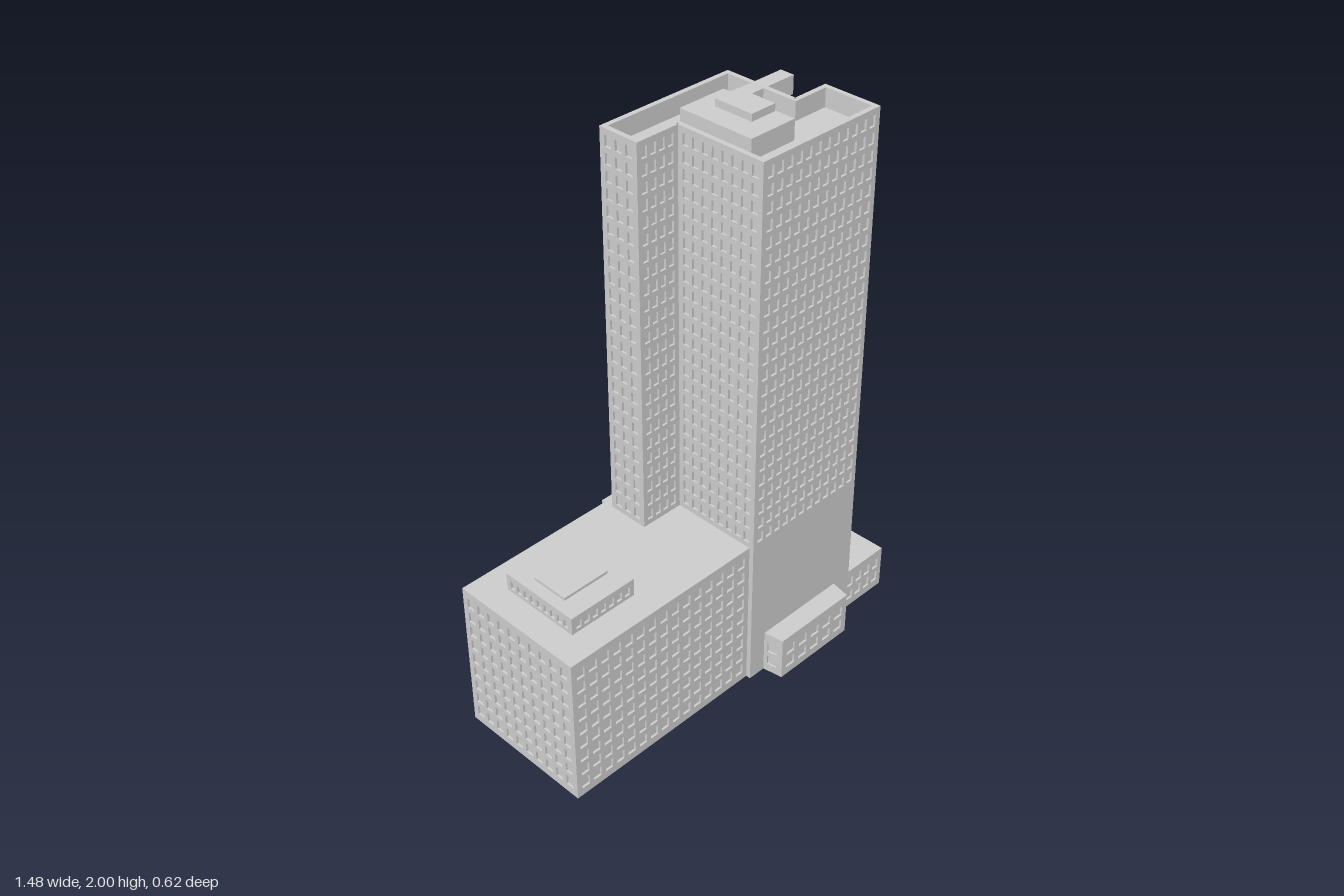
import * as THREE from 'three';

const mat = new THREE.MeshStandardMaterial({ color: 0xcccccc, flatShading: true });
const DEPTH = 0.008; // window recess

const rect = (x0, x1, z0, z1) => [[x0, z1], [x1, z1], [x1, z0], [x0, z0]];

// Move every wall of a plan inwards by d (plans run front-left, front-right, back-right, ...)
function inset(plan, d) {
  const n = plan.length;
  return plan.map((p, i) => {
    const a = plan[(i + n - 1) % n], b = plan[(i + 1) % n];
    const u = new THREE.Vector2(p[0] - a[0], p[1] - a[1]).normalize();
    const v = new THREE.Vector2(b[0] - p[0], b[1] - p[1]).normalize();
    const m = new THREE.Vector2(u.y + v.y, -u.x - v.x); // sum of inward normals
    m.multiplyScalar(d / (1 + u.dot(v)));
    return [p[0] + m.x, p[1] + m.y];
  });
}

const toPoints = plan => plan.map(([x, z]) => new THREE.Vector2(x, -z));

// Upright prism over a plan, optionally hollow
function prism(name, plan, y0, y1, hole) {
  const shape = new THREE.Shape(toPoints(plan));
  if (hole) shape.holes.push(new THREE.Path(toPoints(hole)));
  const geo = new THREE.ExtrudeGeometry(shape, { depth: y1 - y0, bevelEnabled: false });
  geo.rotateX(-Math.PI / 2).translate(0, y0, 0);
  const mesh = new THREE.Mesh(geo, mat);
  mesh.name = name;
  return mesh;
}

// Wall panel from plan point a to b, pierced by a grid of windows
function facade(name, a, b, y0, y1, o) {
  const dx = b[0] - a[0], dz = b[1] - a[1], L = Math.hypot(dx, dz), H = y1 - y0;
  const edge = o.edge ?? 0.012, low = o.low ?? 0.01, high = o.high ?? 0.01;
  const shape = new THREE.Shape([[0, 0], [L, 0], [L, H], [0, H]].map(p => new THREE.Vector2(...p)));
  const cols = Math.floor((L - 2 * edge) / o.pitch + 0.3);
  const cw = (L - 2 * edge) / cols, ch = (H - low - high) / o.rows;
  const w = cw * (o.fillX ?? 0.64), h = ch * (o.fillY ?? 0.66);
  for (let c = 0; c < cols; c++) {
    for (let r = 0; r < o.rows; r++) {
      const x = edge + (c + 0.5) * cw - w / 2, y = low + (r + 0.5) * ch - h / 2;
      shape.holes.push(new THREE.Path([[x, y], [x, y + h], [x + w, y + h], [x + w, y]]
        .map(p => new THREE.Vector2(...p))));
    }
  }
  const geo = new THREE.ExtrudeGeometry(shape, { depth: DEPTH, bevelEnabled: false });
  geo.translate(0, 0, -DEPTH);
  const mesh = new THREE.Mesh(geo, mat);
  mesh.position.set(a[0], y0, a[1]);
  mesh.rotation.y = Math.atan2(-dz, dx);
  mesh.name = name;
  return mesh;
}

// Solid core wrapped in windowed walls
function block(name, plan, y0, y1, o) {
  const g = new THREE.Group();
  g.name = name;
  g.add(prism(name + 'Core', inset(plan, DEPTH), y0, o.roof ?? y1));
  plan.forEach((p, i) => {
    if (o.skip?.includes(i)) return;
    g.add(facade(name + 'Wall', p, plan[(i + 1) % plan.length], y0, y1, o));
  });
  return g;
}

export function createModel() {
  const model = new THREE.Group();
  model.name = 'officeTower';
  const solid = (name, x0, x1, y0, y1, z0, z1) => model.add(prism(name, rect(x0, x1, z0, z1), y0, y1));

  // Long podium wing
  const P = 0.57;
  const wing = { pitch: 0.05, rows: 9, low: 0.02, high: 0.02 };
  const podium = block('podium', rect(-0.74, 0.545, -0.29, 0.22), 0, P, { ...wing, skip: [0, 1] });
  podium.add(facade('podiumFrontWall', [-0.74, 0.22], [0.04, 0.22], 0, P, wing));
  podium.add(facade('podiumEndWall', [0.545, 0.02], [0.545, -0.29], 0, P,
    { pitch: 0.034, rows: 10, low: 0.175, high: 0.03, fillX: 0.6, fillY: 0.6 }));
  model.add(podium);

  // Plain base below the front of the tower, with a few small side openings
  solid('towerBase', 0.04, 0.545 - DEPTH, 0, P, 0.02, 0.237);
  model.add(facade('towerBaseSide', [0.545, 0.237], [0.545, 0.02], 0, P,
    { pitch: 0.055, rows: 6, low: 0.2, high: 0.04, fillX: 0.12, fillY: 0.2 }));

  // Back bay, entrance canopy and service door
  model.add(block('backBay', rect(-0.125, 0.415, -0.304, -0.28), 0.19, P,
    { pitch: 0.05, rows: 6, low: 0.02, high: 0.02, skip: [0] }));
  solid('backCanopy', -0.275, -0.155, 0.135, 0.147, -0.315, -0.285);
  solid('serviceDoor', -0.69, -0.455, 0.02, 0.13, -0.299, -0.285);

  // Tower: two offset slabs merged into one plan, with a parapet round a sunken roof
  const T = 1.97, ROOF = 1.905;
  const plan = [[0.04, 0.237], [0.545, 0.237], [0.545, 0.022], [0.41, 0.022],
    [0.41, -0.255], [-0.125, -0.255], [-0.125, -0.1], [0.04, -0.1]];
  const tower = block('tower', plan, P, T,
    { pitch: 0.038, rows: 24, low: 0.01, high: 0.012, roof: ROOF });
  tower.add(prism('parapet', inset(plan, DEPTH), ROOF, T, inset(plan, 0.018)));
  model.add(tower);

  // Roof plant and the beam reaching over the notch
  solid('plantRoom', 0.113, 0.297, ROOF, 1.975, -0.165, 0.122);
  solid('plantRoomTop', 0.193, 0.293, 1.975, 2.0, -0.1, 0.048);
  solid('roofBeam', 0.297, 0.528, ROOF, T - 0.001, -0.143, -0.09);

  // Low annex at the side
  model.add(block('sideAnnex', [[0.53, 0.233], [0.735, 0.233], [0.73, -0.075], [0.698, -0.075],
    [0.698, -0.295], [0.53, -0.3]], 0, 0.165,
    { pitch: 0.045, rows: 2, low: 0.02, high: 0.025, skip: [5] }));

  // Splayed entrance pavilion at the front
  model.add(block('entrance', [[0.12, 0.31], [0.452, 0.31], [0.467, 0.228], [0.106, 0.228]], 0, 0.165,
    { pitch: 0.055, rows: 2, low: 0.02, high: 0.03, skip: [2] }));

  // Plant pavilion on the podium roof
  model.add(block('roofPavilion', rect(-0.642, -0.38, -0.185, 0.118), P, 0.635,
    { pitch: 0.032, rows: 1, low: 0.005, high: 0.015 }));
  solid('roofPavilionCap', -0.6, -0.42, 0.635, 0.645, -0.1, 0.04);

  return model;
}
